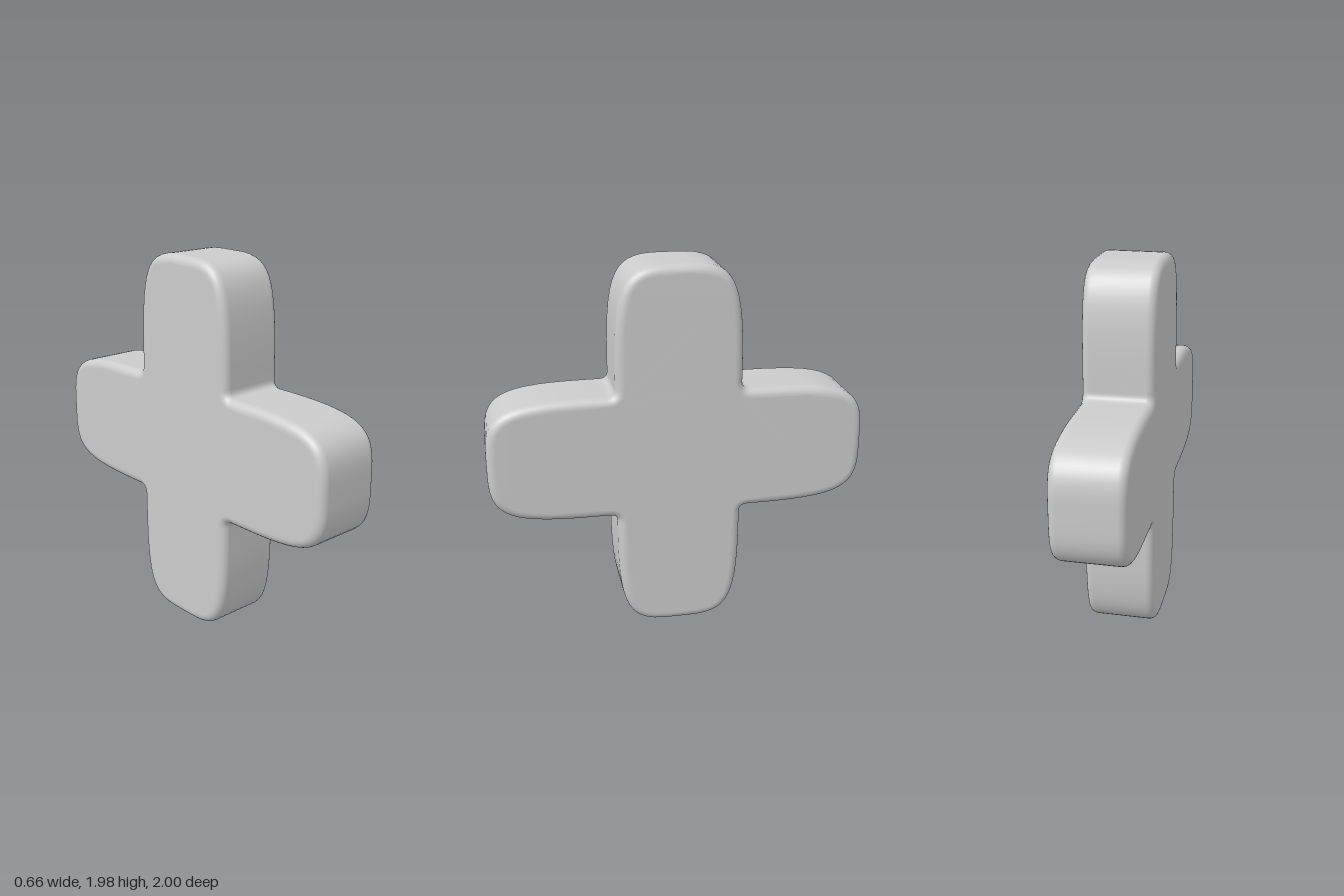
import * as THREE from 'three';
import { mergeVertices } from 'three/addons/utils/BufferGeometryUtils.js';

const HALF = 0.99;        // arm length from the centre
const W = 0.33;           // half width of an arm
const THICK = 0.373;      // thickness of the slab
const BEVEL = 0.045;      // rounding of the rim
const YAW = THREE.MathUtils.degToRad(8.8);

// Outline of one arm pointing along +x, from its lower to its upper inner corner
function armOutline() {
  const v = (x, y) => new THREE.Vector2(x, y);
  const side = new THREE.CubicBezierCurve(v(0.45, W), v(0.9, W), v(HALF, 0.28), v(HALF, 0.06)).getPoints(14);
  const fillet = new THREE.QuadraticBezierCurve(v(W + 0.04, W), v(W, W), v(W, W + 0.04)).getPoints(6);
  const lower = side.map((p) => v(p.x, -p.y));
  return [...lower, ...side.reverse(), ...fillet];
}

export function createModel() {
  const group = new THREE.Group();
  group.name = 'plusSign';

  // Four equal arms around the centre
  const outline = [];
  const arm = armOutline();
  for (let i = 0; i < 4; i++) {
    for (const p of arm) outline.push(p.clone().rotateAround(new THREE.Vector2(), i * Math.PI / 2));
  }

  // Slab with a rounded rim
  let geometry = new THREE.ExtrudeGeometry(new THREE.Shape(outline), {
    depth: THICK - 2 * BEVEL,
    bevelEnabled: true,
    bevelThickness: BEVEL,
    bevelSize: BEVEL,
    bevelOffset: -BEVEL,
    bevelSegments: 6,
  });
  geometry.translate(0, 0, -(THICK / 2 - BEVEL));

  // Shared vertices give smooth normals
  geometry.deleteAttribute('normal');
  geometry.deleteAttribute('uv');
  geometry = mergeVertices(geometry, 1e-4);
  geometry.computeVertexNormals();

  // Broad faces look sideways, turned slightly about the vertical
  geometry.rotateY(YAW - Math.PI / 2);
  geometry.translate(0, HALF, 0);

  const cross = new THREE.Mesh(geometry, new THREE.MeshStandardMaterial({ color: 0xcccccc }));
  cross.name = 'cross';
  group.add(cross);
  return group;
}
